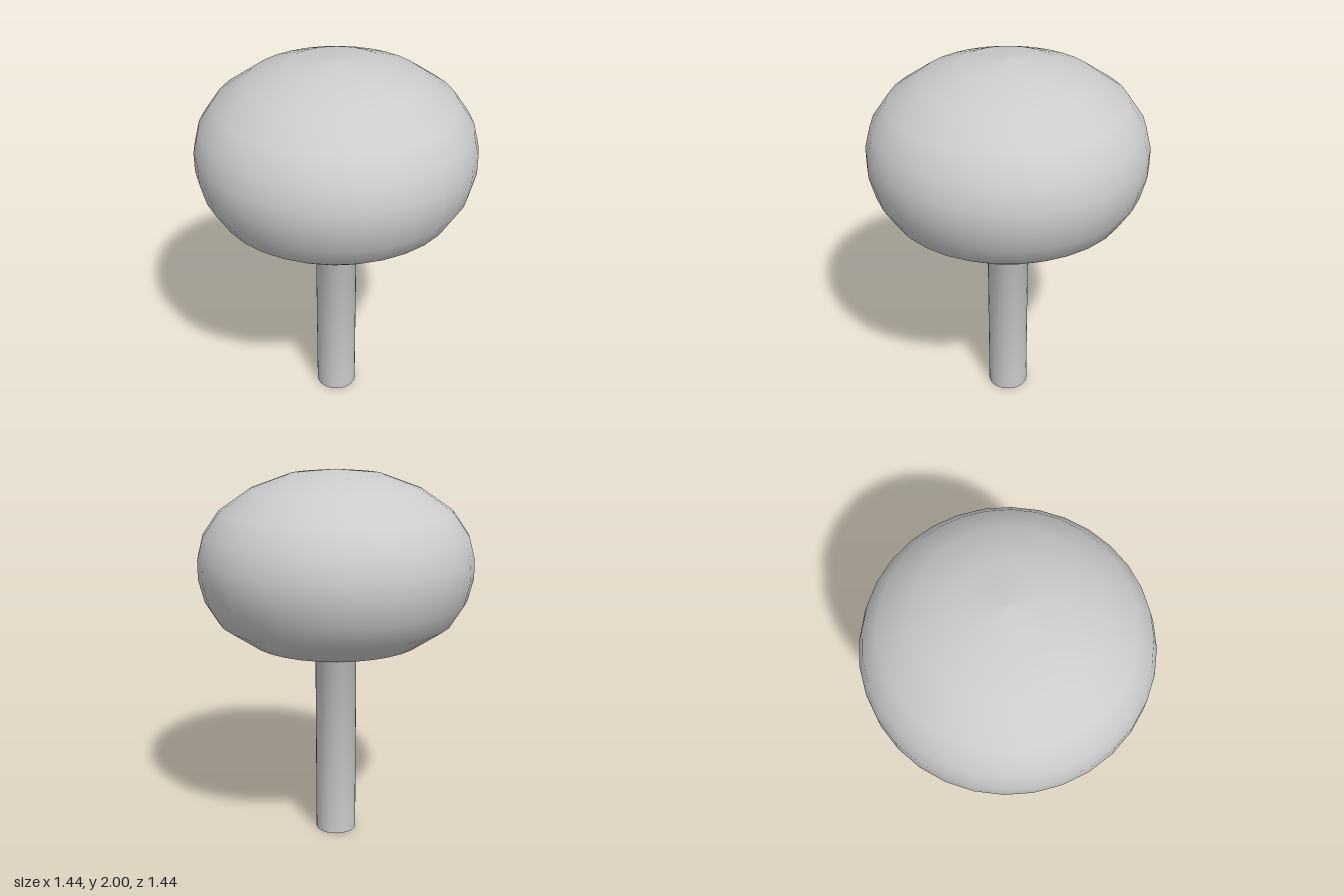
import * as THREE from 'three';

export function createModel() {
  const group = new THREE.Group();
  group.name = 'roundTree';

  // Radius and height, from the open foot of the trunk to the top of the crown
  const profile = [
    [0.11, 0], [0.11, 1],                                         // trunk
    [0.46, 1.11], [0.62, 1.22], [0.69, 1.335], [0.72, 1.455],     // crown, lower half
    [0.72, 1.555], [0.69, 1.67], [0.605, 1.79], [0.445, 1.9],     // crown, upper half
    [0.24, 1.975], [0, 2],
  ].map(([r, y]) => new THREE.Vector2(r, y));

  // One continuous smooth skin, open at the foot
  const material = new THREE.MeshStandardMaterial({ color: 0xcccccc, side: THREE.DoubleSide });
  const trunkAndCrown = new THREE.Mesh(new THREE.LatheGeometry(profile, 32), material);
  trunkAndCrown.name = 'trunkAndCrown';
  group.add(trunkAndCrown);

  return group;
}
